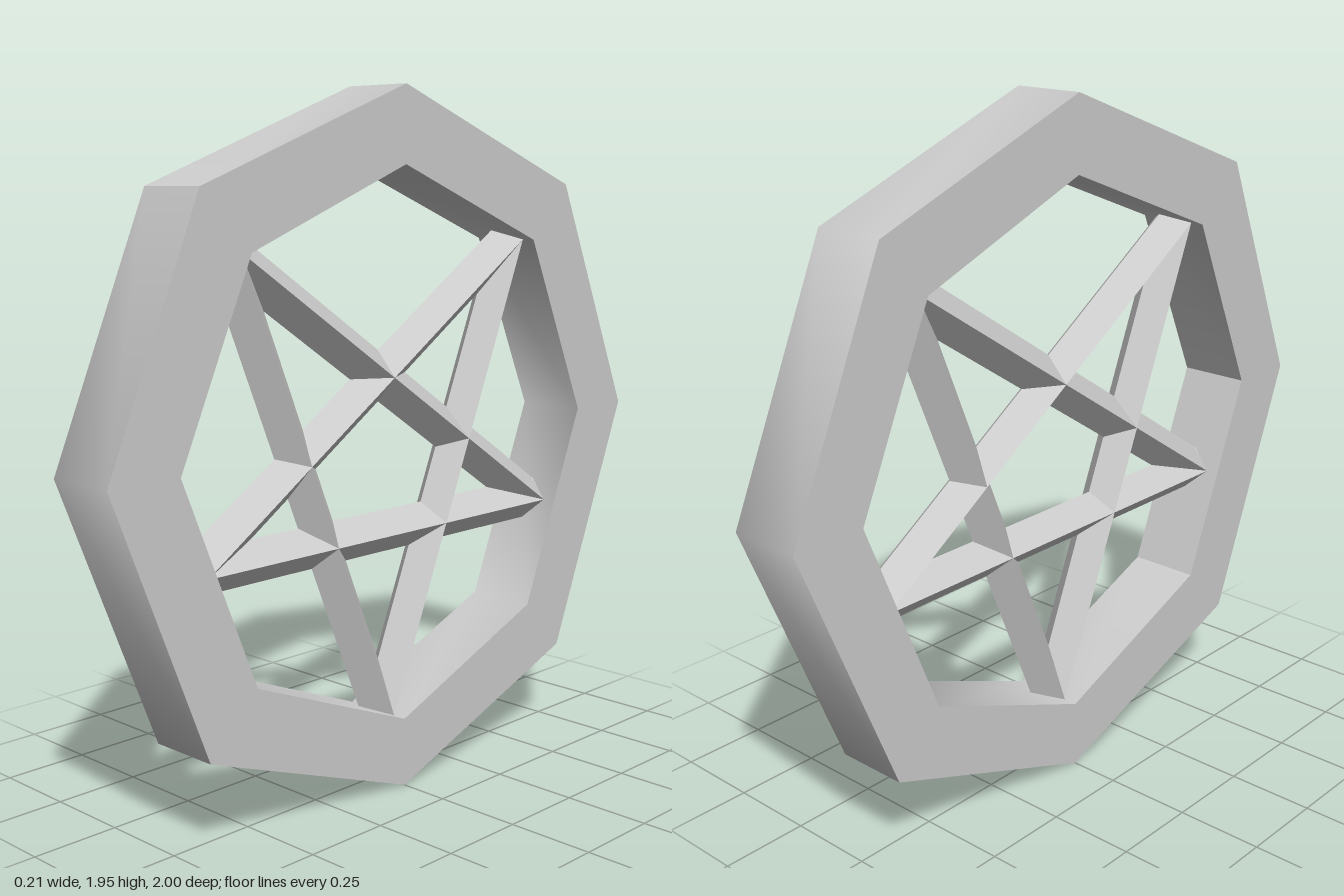
import * as THREE from 'three';
import { mergeGeometries } from 'three/addons/utils/BufferGeometryUtils.js';

const HALF_DEPTH = 0.105;

// Octagon corners as [z, y], anticlockwise seen from +x
const OUTER = [[0.71, 1.685], [1, 1], [0.71, 0.262], [0, 0], [-0.7, 0.262], [-1, 1], [-0.7, 1.685], [0, 1.95]];
const INNER = [[0.55, 1.525], [0.785, 1], [0.55, 0.42], [0, 0.197], [-0.55, 0.42], [-0.785, 1], [-0.55, 1.525], [0, 1.74]];

// Star tips as [z, y], in the order one line draws the star
const TIPS = [[0.55, 1.525], [0, 0.195], [-0.55, 1.525], [0.675, 0.722], [-0.675, 0.722]];

// Smooth band of quads between two octagons, with hard edges at both ends
function band(a, xa, b, xb, start = 0, count = 8) {
  const positions = [], index = [];
  for (let i = 0; i <= count; i++) {
    const k = (start + i) % 8;
    positions.push(xa, a[k][1], a[k][0], xb, b[k][1], b[k][0]);
    if (i < count) {
      const p = i * 2;
      index.push(p, p + 2, p + 3, p, p + 3, p + 1);
    }
  }
  const geometry = new THREE.BufferGeometry();
  geometry.setAttribute('position', new THREE.Float32BufferAttribute(positions, 3));
  geometry.setIndex(index);
  geometry.computeVertexNormals();
  return geometry;
}

// Diamond-section bar from tip to tip, its ends sunk into the ring
function barGeometry(length) {
  const geometry = new THREE.CylinderGeometry(1, 1, length + 0.07, 4).toNonIndexed();
  geometry.scale(0.065, 1, 0.06);
  geometry.computeVertexNormals();
  return geometry;
}

export function createModel() {
  const model = new THREE.Group();
  model.name = 'starWheel';
  const grey = new THREE.MeshStandardMaterial({ color: 0xcccccc });
  grey.name = 'lightGrey';

  // Octagonal ring: two flat sides, inner wall and outer wall
  const h = HALF_DEPTH;
  const ring = new THREE.Mesh(mergeGeometries([
    band(OUTER, h, INNER, h),
    band(INNER, h, INNER, -h, 1, 1),
    band(INNER, h, INNER, -h, 2, 7),
    band(INNER, -h, OUTER, -h),
    band(OUTER, -h, OUTER, h),
  ]), grey);
  ring.name = 'octagonRing';
  model.add(ring);

  // Five crossing bars form the star
  const star = new THREE.Group();
  star.name = 'star';
  TIPS.forEach(([z0, y0], i) => {
    const [z1, y1] = TIPS[(i + 1) % TIPS.length];
    const bar = new THREE.Mesh(barGeometry(Math.hypot(z1 - z0, y1 - y0)), grey);
    bar.name = `starBar${i + 1}`;
    bar.position.set(0, (y0 + y1) / 2, (z0 + z1) / 2);
    bar.rotation.x = Math.atan2(z1 - z0, y1 - y0);
    star.add(bar);
  });
  model.add(star);

  return model;
}
